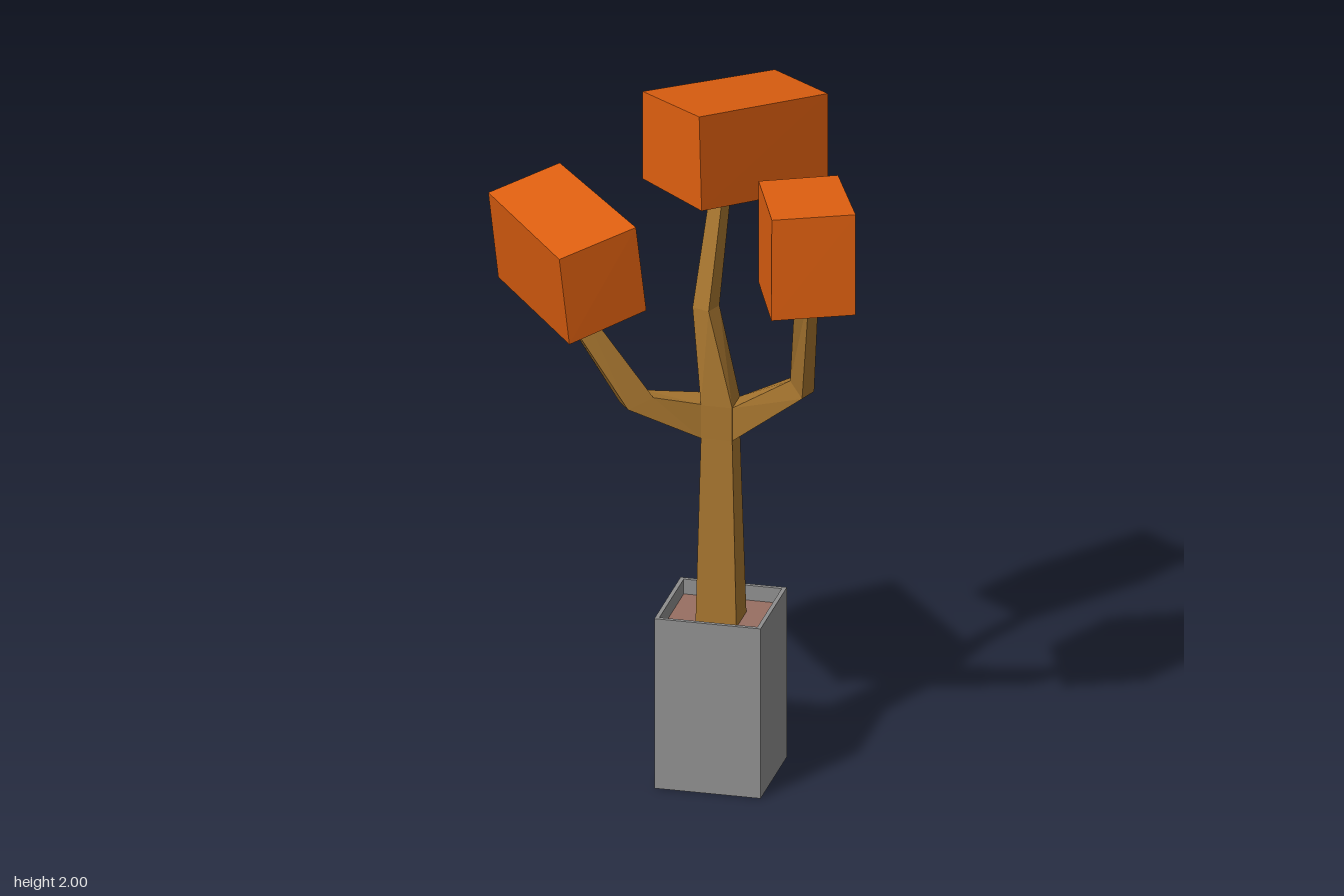
import * as THREE from 'three';

// Flat-faced surface through a list of four-cornered rings
function loft(rings, caps = true) {
  const pos = [];
  const quad = (a, b, c, d) => pos.push(...a, ...b, ...c, ...a, ...c, ...d);
  for (let r = 0; r < rings.length - 1; r++) {
    const a = rings[r], b = rings[r + 1];
    for (let i = 0; i < 4; i++) {
      const j = (i + 1) % 4;
      quad(a[i], a[j], b[j], b[i]);
    }
  }
  if (caps) {
    quad(...[...rings[0]].reverse());
    quad(...rings[rings.length - 1]);
  }
  const g = new THREE.BufferGeometry();
  g.setAttribute('position', new THREE.Float32BufferAttribute(pos, 3));
  g.computeVertexNormals();
  return g;
}

// Level square ring, optionally turned about the vertical
function square(x, y, z, half, yaw = 0) {
  return [[1, 1], [1, -1], [-1, -1], [-1, 1]].map(([u, v]) => [
    x + half * (u * Math.cos(yaw) + v * Math.sin(yaw)),
    y,
    z + half * (v * Math.cos(yaw) - u * Math.sin(yaw)),
  ]);
}

// Branch ring from its upper and lower edge midpoints and half-width vector
function edgeRing(up, low, h) {
  const add = (p, s) => p.map((c, i) => c + s * h[i]);
  return [add(up, -1), add(up, 1), add(low, 1), add(low, -1)];
}

export function createModel() {
  const material = (name, color, side = THREE.FrontSide) => {
    const m = new THREE.MeshStandardMaterial({ color, side });
    m.name = name;
    return m;
  };
  const orange = material('orange leaves', 0xde5f10);
  const brown = material('brown bark', 0xa6752f);
  const grey = material('grey pot', 0x8e8e8e, THREE.DoubleSide);
  const earth = material('soil', 0x986f62);

  const group = new THREE.Group();
  group.name = 'pottedTree';
  const part = (name, geometry, mat) => {
    const mesh = new THREE.Mesh(geometry, mat);
    mesh.name = name;
    group.add(mesh);
    return mesh;
  };

  // Pot: open-bottomed walls, thin rim and inner lip
  const px = 0.108, pz = 0.042;
  part('pot', loft([
    square(px, 0, pz, 0.153),
    square(px, 0.515, pz, 0.153),
    square(px, 0.515, pz, 0.141),
    square(px, 0.465, pz, 0.141),
  ], false), grey);
  const soil = part('soil', new THREE.PlaneGeometry(0.282, 0.282), earth);
  soil.rotation.x = -Math.PI / 2;
  soil.position.set(px, 0.47, pz);

  // Trunk running up into the rear branch
  part('trunk', loft([
    square(0.109, 0.46, 0.042, 0.059),
    square(0.108, 1.03, 0.044, 0.045),
    square(0.108, 1.13, 0.044, 0.045),
    square(0.065, 1.41, 0.038, 0.027, -0.35),
    square(0.088, 1.75, -0.05, 0.021, -0.35),
  ]), brown);

  // Side branches, each with one elbow
  part('rightBranch', loft([
    edgeRing([0.063, 1.133, 0.044], [0.063, 1.03, 0.044], [0, 0, -0.045]),
    edgeRing([-0.08, 1.16, 0.112], [-0.145, 1.13, 0.145], [-0.018, 0, -0.024]),
    edgeRing([-0.28, 1.47, 0.175], [-0.34, 1.47, 0.2], [-0.013, 0, -0.02]),
  ]), brown);
  part('leftBranch', loft([
    edgeRing([0.153, 1.13, 0.044], [0.153, 1.03, 0.044], [0, 0, 0.043]),
    edgeRing([0.335, 1.24, 0.08], [0.373, 1.195, 0.095], [-0.01, 0, 0.03]),
    edgeRing([0.372, 1.56, 0.185], [0.415, 1.56, 0.195], [-0.008, 0, 0.024]),
  ]), brown);

  // Leaf blocks: bottom corners, then top corners
  part('rightLeafBlock', loft([
    [[-0.537, 1.43, 0.021], [-0.237, 1.415, 0.406], [-0.053, 1.475, 0.255], [-0.365, 1.487, -0.122]],
    [[-0.555, 1.703, 0.065], [-0.255, 1.69, 0.451], [-0.071, 1.745, 0.303], [-0.383, 1.755, -0.071]],
  ]), orange);
  part('leftLeafBlock', loft([
    [[0.232, 1.53, 0.104], [0.335, 1.53, 0.369], [0.553, 1.53, 0.272], [0.437, 1.53, 0.008]],
    [[0.232, 1.833, 0.1], [0.335, 1.833, 0.363], [0.553, 1.833, 0.268], [0.437, 1.833, 0.006]],
  ]), orange);
  part('rearLeafBlock', loft([
    [[-0.142, 1.735, -0.062], [0.062, 1.715, 0.077], [0.329, 1.655, -0.315], [0.142, 1.655, -0.449]],
    [[-0.142, 2, -0.062], [0.055, 2, 0.077], [0.327, 1.935, -0.32], [0.142, 1.935, -0.451]],
  ]), orange);

  return group;
}
